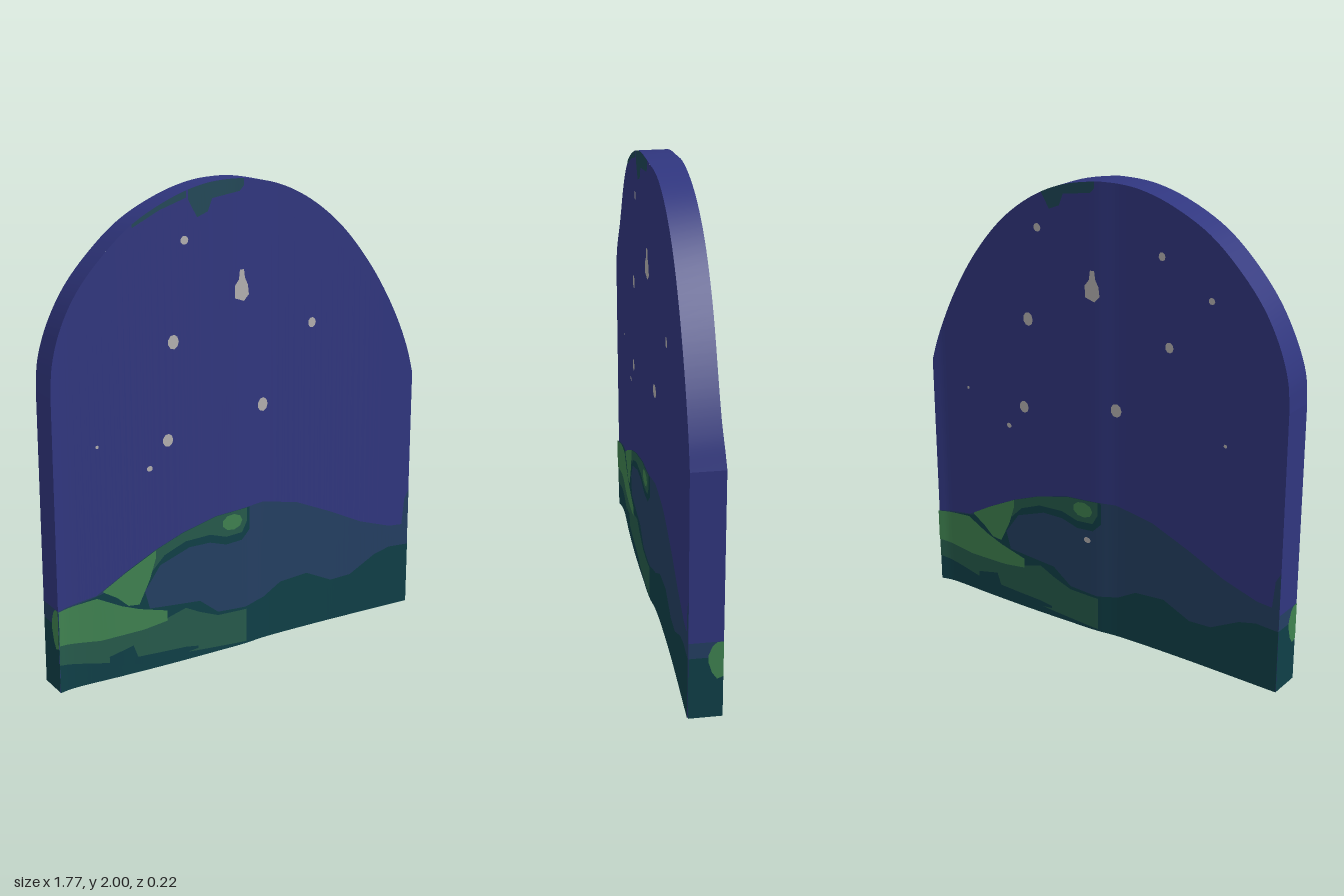
import * as THREE from 'three';

const mat = (name, color) => Object.assign(new THREE.MeshStandardMaterial({ color }), { name });

// linear lookup in a list of [x, y] points sorted by x
function lookup(pts, x) {
  if (x <= pts[0][0]) return pts[0][1];
  for (let i = 1; i < pts.length; i++) {
    const [x0, y0] = pts[i - 1], [x1, y1] = pts[i];
    if (x <= x1) return x1 === x0 ? y1 : y0 + (y1 - y0) * (x - x0) / (x1 - x0);
  }
  return pts[pts.length - 1][1];
}

// smooth curve through points, returned as a dense list
const smooth = (pts, n) => new THREE.CatmullRomCurve3(
  pts.map(([x, y]) => new THREE.Vector3(x, y, 0)), false, 'centripetal'
).getPoints(n).map(p => [p.x, p.y]);

// surface between two rows of points
function strip(a, b) {
  const pos = [], idx = [];
  a.forEach((p, i) => {
    pos.push(...p, ...b[i]);
    if (i) { const k = 2 * i - 2; idx.push(k, k + 2, k + 1, k + 2, k + 3, k + 1); }
  });
  const g = new THREE.BufferGeometry();
  g.setAttribute('position', new THREE.Float32BufferAttribute(pos, 3));
  g.setIndex(idx);
  g.computeVertexNormals();
  return g;
}

const W = 0.885;

// bent plan of the slab: front depth, and the back as its half-turn
const plan = smooth([[-W, 0.1], [-0.83, 0.087], [-0.6, 0.086], [-0.4, 0.084], [-0.15, 0.075],
  [0, 0.067], [0.1, 0.053], [0.4, 0.041], [W, 0.038]], 60);
const front = x => lookup(plan, x);
const back = x => -front(-x);

// arched outline, left to right
const arch = smooth([[-W, 1.22], [-0.875, 1.34], [-0.835, 1.47], [-0.76, 1.61], [-0.65, 1.74], [-0.51, 1.86],
  [-0.33, 1.95], [-0.19, 1.99], [-0.08, 2], [0, 1.998], [0.17, 1.965], [0.325, 1.895], [0.485, 1.775],
  [0.645, 1.59], [0.775, 1.38], [0.85, 1.21], [W, 1.09]], 90)
  .map(([x, y]) => [Math.max(-W, Math.min(W, x)), Math.min(2, y)]);
const archMirror = arch.map(([x, y]) => [-x, y]).reverse();

// painted profiles
const ridge = [[-W, 0.35], [-0.71, 0.375], [-0.58, 0.45], [-0.44, 0.52], [-0.31, 0.57], [-0.15, 0.61], [0.09, 0.625],
  [0.27, 0.59], [0.46, 0.51], [0.62, 0.435], [0.78, 0.385], [0.85, 0.38], [0.862, 0.5], [W, 0.54]];
const nearTop = [[-W, 0.34], [-0.72, 0.37], [-0.6, 0.4], [-0.5, 0.38], [-0.47, 0.27], [-0.23, 0.25], [-0.14, 0.18],
  [0, 0.17], [0.1, 0.19], [0.19, 0.24], [0.33, 0.25], [0.46, 0.19], [0.565, 0.195], [0.7, 0.265], [0.78, 0.285], [W, 0.28]];

// stars: x, y, half width, half height
const stars = [[-0.29, 1.775, 0.018, 0.018], [-0.345, 1.375, 0.025, 0.03], [0.34, 1.375, 0.02, 0.022],
  [0.09, 1.055, 0.026, 0.03], [-0.375, 0.975, 0.024, 0.027], [-0.46, 0.87, 0.013, 0.012], [-0.69, 0.995, 0.007, 0.007]];
const backStars = [[0.3, 1.74, 0.016, 0.018], [0.53, 1.6, 0.015, 0.014], [0.61, 1.02, 0.008, 0.008],
  [-0.05, 0.43, 0.018, 0.014]];

export function createModel() {
  const sky = mat('night sky', 0x30367f), far = mat('far hill blue', 0x243f62), dark = mat('dark teal', 0x0f3f47);
  const mid = mat('mid green', 0x265a4b), light = mat('light green', 0x3f8250), star = mat('star grey', 0xb4b1b1);
  const haze = mat('haze teal', 0x1e4656);
  const model = new THREE.Group();
  model.name = 'archedPanel';
  const add = (parent, name, geo, material) => {
    const m = new THREE.Mesh(geo, material);
    m.name = name;
    parent.add(m);
  };

  // one painted face; used for the front and, half-turned, for the back
  function makeFace(name, outline, extraStars) {
    const face = new THREE.Group();
    face.name = name;
    const band = (label, x0, x1, low, high, layer, material) => {
      const xs = [x0, x1];
      for (const list of [low, high, plan, outline]) for (const [x] of list) if (x > x0 && x < x1) xs.push(x);
      xs.sort((p, q) => p - q);
      const row = pts => xs.map(x => [x, Math.min(lookup(pts, x), lookup(outline, x)), front(x) + layer * 0.0015]);
      add(face, label, strip(row(low), row(high)), material);
    };
    // small flat patch following the bent surface
    const spot = (label, outlinePts, layer, material) => {
      const g = new THREE.ShapeGeometry(new THREE.Shape(outlinePts.map(p => new THREE.Vector2(...p))));
      const p = g.attributes.position;
      for (let i = 0; i < p.count; i++) p.setZ(i, front(p.getX(i)) + layer * 0.0015);
      add(face, label, g, material);
    };
    const oval = (x, y, rx, ry) => Array.from({ length: 9 }, (_, i) => {
      const a = i / 9 * Math.PI * 2;
      return [x + rx * Math.cos(a), y + ry * Math.sin(a)];
    });
    const ground = [[-W, 0], [W, 0]];

    band('sky', -W, W, ground, outline, 0, sky);
    band('farHill', -W, W, ground, ridge, 1, far);
    band('nearHill', -W, W, ground, nearTop, 2, dark);

    // leaning tree crown with a dark underside
    band('crownShade', -0.58, 0.02, [[-0.58, 0.3], [-0.485, 0.36], [-0.42, 0.45], [-0.28, 0.5], [-0.18, 0.5],
      [-0.1, 0.475], [-0.02, 0.48], [0.02, 0.52]], ridge, 3, dark);
    band('crown', -0.46, 0.005, [[-0.46, 0.43], [-0.4, 0.49], [-0.3, 0.53], [-0.18, 0.535], [-0.1, 0.51],
      [-0.02, 0.515], [0.005, 0.56]], ridge, 4, mid);
    spot('crownLight', oval(-0.07, 0.57, 0.05, 0.035), 5, light);
    band('trunk', -0.68, -0.44, [[-0.68, 0.385], [-0.62, 0.35], [-0.57, 0.305], [-0.52, 0.3], [-0.47, 0.4], [-0.44, 0.49]],
      ridge, 5, light);

    // meadow in the foreground
    band('meadowShade', -W, 0.005, [[-W, 0.12], [-0.65, 0.07], [-0.45, 0.05], [-0.25, 0.03], [0.005, 0.01]],
      [[-W, 0.22], [-0.39, 0.21], [-0.3, 0.235], [-0.23, 0.2], [-0.14, 0.165], [0.005, 0.16]], 3, mid);
    band('meadowHollow', -0.66, -0.24, [[-0.66, 0.06], [-0.45, 0.02], [-0.24, 0.04]],
      [[-0.66, 0.1], [-0.55, 0.125], [-0.53, 0.07], [-0.3, 0.06], [-0.24, 0.05]], 4, dark);
    band('meadow', -W, -0.39, [[-W, 0.205], [-0.7, 0.18], [-0.5, 0.185], [-0.39, 0.2]],
      [[-W, 0.35], [-0.71, 0.365], [-0.6, 0.31], [-0.52, 0.28], [-0.39, 0.245]], 5, light);

    // haze at the crest of the arch
    band('crestHaze', -0.27, -0.01, [[-0.27, 1.93], [-0.23, 1.86], [-0.18, 1.88], [-0.16, 1.93], [-0.03, 1.95], [-0.01, 1.97]],
      outline, 1, haze);
    band('sideHaze', -0.52, -0.28, [[-0.52, 1.84], [-0.4, 1.9], [-0.28, 1.94]], outline, 1, haze);

    // stars
    for (const s of [...stars, ...extraStars]) spot('star', oval(...s), 2, star);
    spot('brightStar', [[-0.055, 1.52], [-0.01, 1.505], [0.015, 1.53], [0.01, 1.57], [-0.005, 1.6], [-0.01, 1.635],
      [-0.03, 1.635], [-0.035, 1.595], [-0.055, 1.57]], 2, star);
    model.add(face);
    return face;
  }
  makeFace('frontFace', arch, []);
  makeFace('backFace', archMirror, backStars).rotation.y = Math.PI;

  // rim, running anticlockwise around the outline
  const rim = (name, pts, material) => add(model, name,
    strip(pts.map(([x, y]) => [x, y, back(x)]), pts.map(([x, y]) => [x, y, front(x)])), material);
  rim('archRim', [...arch].reverse(), sky);
  rim('base', plan.map(([x]) => [x, 0]), dark);
  for (const s of [1, -1]) {
    const side = (name, y0, y1, m) => rim(name, s > 0 ? [[W, y0], [W, y1]] : [[-W, y1], [-W, y0]], m);
    side('sideHillDark', 0, 0.28, dark);
    side('sideHillFar', 0.28, 0.35, far);
    side('sideSky', 0.35, s > 0 ? 1.09 : 1.22, sky);
    // meadow wrapping round the edge
    const wrap = new THREE.Group();
    wrap.name = 'meadowEdge';
    const low = [[0.1, 0.19], [0.075, 0.18], [0.055, 0.21], [0.04, 0.26]];
    const high = [[0.1, 0.35], [0.075, 0.35], [0.055, 0.33], [0.04, 0.29]];
    const row = pts => pts.map(([z, y]) => [W + 0.0015, y, -z]).reverse();
    add(wrap, 'meadowEdgePatch', strip(row(high), row(low)), light);
    wrap.children[0].geometry.setIndex(fixWinding(wrap.children[0].geometry));
    if (s < 0) wrap.rotation.y = Math.PI;
    model.add(wrap);
  }
  return model;
}

// turns triangles so they face +x
function fixWinding(g) {
  const idx = [...g.index.array], n = g.attributes.normal;
  if (n.getX(0) > 0) return idx;
  for (let i = 0; i < idx.length; i += 3) [idx[i], idx[i + 1]] = [idx[i + 1], idx[i]];
  for (let i = 0; i < n.count; i++) n.setXYZ(i, 1, 0, 0);
  return idx;
}
